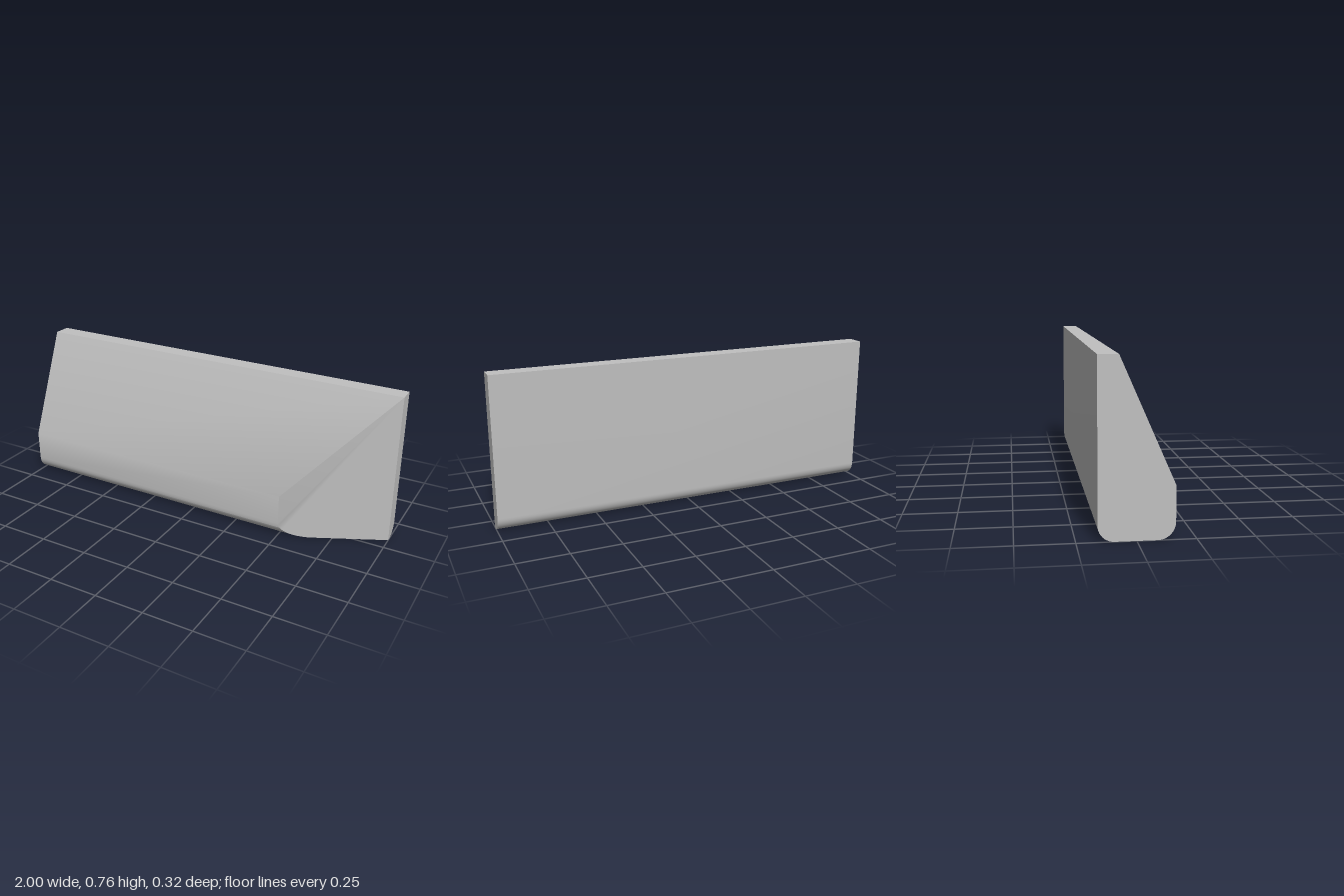
import * as THREE from 'three';
import { toCreasedNormals } from 'three/addons/utils/BufferGeometryUtils.js';

const H = 0.765, FRONT = 0.162, BEND = -0.075, BACK = -0.162;

// Quarter-round points [z, y] around a centre
function arc(cz, cy, r, from, to, steps = 10) {
  return Array.from({ length: steps + 1 }, (_, i) => {
    const a = from + (to - from) * i / steps;
    return [cz + r * Math.cos(a), cy + r * Math.sin(a)];
  });
}

// Convex cross-section, running from the bottom bend forward, up, over and down the back
const frontPart = [
  [BEND, 0],
  ...arc(FRONT - 0.075, 0.075, 0.075, -Math.PI / 2, 0),
  [FRONT, 0.227],
  [BEND, H],
];
const backPart = [
  [BACK, H],
  ...arc(BACK + 0.07, 0.07, 0.07, Math.PI, Math.PI * 1.5),
];
const profile = [...frontPart, ...backPart];

// The right end is square at the back and cut away at an angle in front;
// the back face narrows very slightly towards the right
function rightPoint([z, y]) {
  const x = z > BEND ? 1 - (z - BEND) * 0.495 / (FRONT - BEND) : 1;
  const skew = z < BEND ? 0.006 * (BEND - z) / (BEND - BACK) : 0;
  return [x, y, z + skew];
}
const leftPoint = ([z, y]) => [-1, y, z];

function wedgeGeometry() {
  const pos = [];
  const tri = (a, b, c) => pos.push(...a, ...b, ...c);
  const fan = (pts) => {
    for (let i = 1; i < pts.length - 1; i++) tri(pts[0], pts[i], pts[i + 1]);
  };

  // Long faces between the two ends
  profile.forEach((p, i) => {
    const q = profile[(i + 1) % profile.length];
    const a = leftPoint(p), b = rightPoint(p), c = rightPoint(q), d = leftPoint(q);
    tri(a, b, c);
    tri(a, c, d);
  });

  // Left end, angled cut and square right end
  fan(profile.map(leftPoint));
  fan(frontPart.map(rightPoint).reverse());
  fan([frontPart[0], ...backPart.slice().reverse(), frontPart.at(-1)].map(rightPoint));

  const geometry = new THREE.BufferGeometry();
  geometry.setAttribute('position', new THREE.Float32BufferAttribute(pos, 3));
  return toCreasedNormals(geometry, THREE.MathUtils.degToRad(30));
}

export function createModel() {
  const group = new THREE.Group();
  group.name = 'wedgePanel';
  const grey = new THREE.MeshStandardMaterial({ color: 0xc0c0c0 });
  grey.name = 'lightGrey';
  const body = new THREE.Mesh(wedgeGeometry(), grey);
  body.name = 'wedgeBody';
  group.add(body);
  return group;
}
